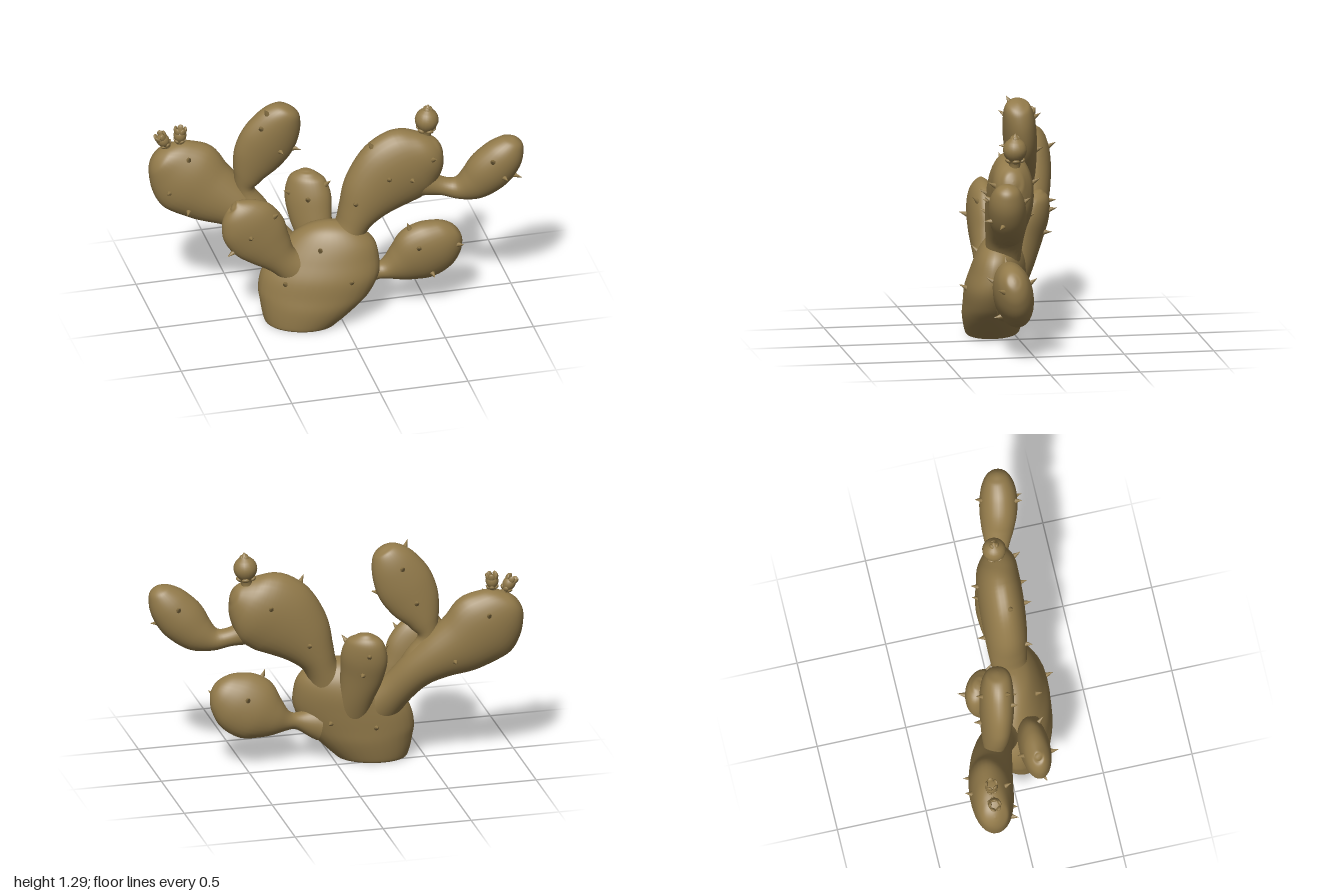
import * as THREE from 'three';

const skin = new THREE.MeshStandardMaterial({ color: 0x927a4a });
skin.name = 'ochre';

// Each pad is a row of cross-sections: x, y, z, half width, half thickness
const PADS = {
  trunk: {
    upright: true,
    normal: [-0.3, 0, 0.95],
    rings: [[-0.22, 0, 0.11, 0.194, 0.14], [-0.215, 0.02, 0.11, 0.21, 0.152], [-0.172, 0.12, 0.113, 0.274, 0.17],
      [-0.143, 0.2, 0.112, 0.312, 0.17], [-0.11, 0.3, 0.11, 0.324, 0.168], [-0.075, 0.4, 0.1, 0.29, 0.153],
      [-0.05, 0.48, 0.098, 0.242, 0.13], [-0.045, 0.55, 0.098, 0.16, 0.09], [-0.045, 0.595, 0.098, 0, 0]],
    front: [[-0.33, 0.29], [0.01, 0.3], [-0.14, 0.48]],
    back: [[-0.2, 0.22], [0.05, 0.25]],
  },
  leftFrontPad: {
    rings: [[-0.2, 0.3, 0.12, 0.12, 0.09], [-0.32, 0.4, 0.125, 0.09, 0.07], [-0.395, 0.485, 0.12, 0.13, 0.078],
      [-0.46, 0.57, 0.117, 0.168, 0.084], [-0.52, 0.655, 0.115, 0.166, 0.083], [-0.565, 0.72, 0.112, 0.125, 0.07],
      [-0.595, 0.765, 0.11, 0.06, 0.04], [-0.605, 0.775, 0.11, 0, 0]],
    front: [[-0.52, 0.62], [-0.61, 0.49], [-0.38, 0.7]],
    back: [[-0.55, 0.7]],
  },
  leftBackPad: {
    rings: [[-0.22, 0.3, 0.03, 0.13, 0.1], [-0.32, 0.43, -0.04, 0.1, 0.09], [-0.425, 0.56, -0.1, 0.108, 0.1],
      [-0.54, 0.65, -0.14, 0.14, 0.115], [-0.68, 0.735, -0.175, 0.188, 0.122], [-0.785, 0.82, -0.195, 0.218, 0.12],
      [-0.87, 0.89, -0.21, 0.178, 0.104], [-0.935, 0.94, -0.215, 0.105, 0.08], [-0.967, 0.965, -0.215, 0, 0]],
    front: [[-0.8, 0.95], [-0.9, 0.79], [-0.79, 0.65]],
    back: [[-0.78, 0.93], [-0.6, 0.66]],
  },
  tallPad: {
    rings: [[-0.35, 0.45, -0.05, 0.08, 0.08], [-0.425, 0.61, -0.095, 0.08, 0.08], [-0.482, 0.75, -0.11, 0.052, 0.06],
      [-0.462, 0.85, -0.1, 0.092, 0.075], [-0.415, 0.96, -0.085, 0.145, 0.086], [-0.36, 1.065, -0.07, 0.16, 0.092],
      [-0.305, 1.17, -0.055, 0.135, 0.088], [-0.262, 1.245, -0.04, 0.085, 0.07], [-0.245, 1.275, -0.037, 0, 0]],
    front: [[-0.41, 1.17], [-0.31, 1.03], [-0.23, 1.01], [-0.38, 1.25]],
    back: [[-0.33, 1.17], [-0.42, 0.97]],
  },
  backPad: {
    normal: [-0.5, 0, 0.86],
    rings: [[-0.08, 0.3, 0.02, 0.1, 0.07], [-0.1, 0.42, -0.03, 0.1, 0.072], [-0.12, 0.55, -0.07, 0.122, 0.078],
      [-0.127, 0.66, -0.1, 0.132, 0.082], [-0.13, 0.75, -0.12, 0.108, 0.07], [-0.13, 0.795, -0.125, 0.055, 0.04],
      [-0.13, 0.81, -0.125, 0, 0]],
    front: [[-0.14, 0.68], [-0.23, 0.69], [-0.04, 0.74]],
    back: [[-0.13, 0.7], [-0.1, 0.57]],
  },
  rightTopPad: {
    rings: [[0, 0.4, 0.1, 0.13, 0.1], [0.06, 0.53, 0.095, 0.092, 0.1], [0.11, 0.64, 0.096, 0.12, 0.11],
      [0.19, 0.76, 0.1, 0.184, 0.12], [0.3, 0.865, 0.105, 0.228, 0.124], [0.41, 0.925, 0.112, 0.22, 0.12],
      [0.49, 0.967, 0.128, 0.157, 0.102], [0.545, 0.995, 0.132, 0.085, 0.066], [0.57, 1.005, 0.132, 0, 0]],
    front: [[0.25, 0.9], [0.38, 0.85], [0.5, 0.97], [0.08, 0.73], [0.19, 1.06]],
    back: [[0.38, 0.95], [0.15, 0.72]],
  },
  rightOuterPad: {
    rings: [[0.46, 0.79, 0.13, 0.08, 0.07], [0.57, 0.757, 0.145, 0.052, 0.055], [0.66, 0.745, 0.165, 0.066, 0.065],
      [0.75, 0.785, 0.188, 0.108, 0.09], [0.83, 0.865, 0.21, 0.13, 0.104], [0.9, 0.95, 0.226, 0.115, 0.098],
      [0.95, 1.02, 0.233, 0.072, 0.07], [0.97, 1.055, 0.235, 0, 0]],
    front: [[0.82, 0.95], [0.88, 0.85], [0.96, 0.84]],
    back: [[0.87, 0.96]],
  },
  rightLowPad: {
    normal: [0, -0.15, 1],
    rings: [[0.08, 0.22, 0.1, 0.1, 0.08], [0.19, 0.24, 0.097, 0.052, 0.05], [0.27, 0.252, 0.097, 0.062, 0.062],
      [0.35, 0.282, 0.1, 0.122, 0.09], [0.44, 0.33, 0.11, 0.178, 0.108], [0.53, 0.38, 0.125, 0.175, 0.106],
      [0.605, 0.427, 0.138, 0.13, 0.085], [0.65, 0.455, 0.146, 0.07, 0.052], [0.666, 0.465, 0.148, 0, 0]],
    front: [[0.42, 0.42], [0.5, 0.24], [0.65, 0.4], [0.38, 0.52]],
    back: [[0.5, 0.42]],
  },
};

const UP = new THREE.Vector3(0, 1, 0);

// Loft of ellipses along a smooth path; squared radii give a rounded tip
function padGeometry({ rings, normal = [0, 0, 1], upright = false }) {
  const path = new THREE.CatmullRomCurve3(rings.map(r => new THREE.Vector3(r[0], r[1], r[2])), false, 'catmullrom');
  const size = new THREE.CatmullRomCurve3(rings.map(r => new THREE.Vector3(r[3] ** 2, r[4] ** 2, 0)), false, 'catmullrom');
  const rows = (rings.length - 1) * 6, cols = 32;
  const pos = [], index = [];
  const facing = new THREE.Vector3(...normal);
  for (let i = 0; i <= rows; i++) {
    // Rows crowd towards the tip
    const u = 1 - (1 - i / rows) ** 1.4;
    const c = path.getPoint(u), s = size.getPoint(u);
    const t = upright ? UP : path.getTangent(u);
    const side = t.clone().cross(facing).normalize();
    const out = side.clone().cross(t).normalize();
    const w = Math.sqrt(Math.max(s.x, 1e-8)), d = Math.sqrt(Math.max(s.y, 1e-8));
    for (let j = 0; j < cols; j++) {
      const a = (j / cols) * Math.PI * 2;
      const p = c.clone().addScaledVector(side, w * Math.cos(a)).addScaledVector(out, d * Math.sin(a));
      pos.push(p.x, p.y, p.z);
      if (i < rows) {
        const k = i * cols, n = (j + 1) % cols;
        index.push(k + j, k + cols + j, k + n, k + n, k + cols + j, k + cols + n);
      }
    }
  }
  const geo = new THREE.BufferGeometry();
  geo.setAttribute('position', new THREE.Float32BufferAttribute(pos, 3));
  geo.setIndex(index);
  geo.computeVertexNormals();
  return geo;
}

const spineGeo = new THREE.ConeGeometry(0.018, 0.058, 8).translate(0, 0.016, 0);

// Spine seated on the pad surface nearest to (x, y), on the front or back
function spine(geo, x, y, face) {
  const P = geo.attributes.position, N = geo.attributes.normal;
  let best = 0, bestD = Infinity;
  for (let i = 0; i < P.count; i++) {
    const d = (P.getX(i) - x) ** 2 + (P.getY(i) - y) ** 2;
    if (N.getZ(i) * face > 0 && d < bestD) { bestD = d; best = i; }
  }
  const dir = new THREE.Vector3().fromBufferAttribute(N, best);
  dir.y += 0.35;
  const m = new THREE.Mesh(spineGeo, skin);
  m.name = 'spine';
  m.position.fromBufferAttribute(P, best);
  m.quaternion.setFromUnitVectors(UP, dir.normalize());
  return m;
}

// Bud: lathed body with rings of petals or sepals
function bud(name, profile, petals, position, tilt) {
  const g = new THREE.Group();
  g.name = name;
  const curve = new THREE.SplineCurve(profile.map(p => new THREE.Vector2(...p)));
  const pts = curve.getPoints(20).map(p => new THREE.Vector2(Math.max(p.x, 0), p.y));
  g.add(new THREE.Mesh(new THREE.LatheGeometry(pts, 20), skin));
  for (const { n, r, y, len, wide, lean } of petals) {
    for (let i = 0; i < n; i++) {
      const pivot = new THREE.Group();
      pivot.name = 'petal';
      pivot.rotation.y = (i / n) * Math.PI * 2;
      const m = new THREE.Mesh(new THREE.SphereGeometry(1, 10, 8), skin);
      m.scale.set(wide * 0.5, len / 2, wide);
      m.position.set(r, y, 0);
      m.rotation.z = -lean;
      pivot.add(m);
      g.add(pivot);
    }
  }
  g.position.set(...position);
  g.rotation.z = tilt;
  return g;
}

export function createModel() {
  const model = new THREE.Group();
  model.name = 'cactus';
  for (const [name, pad] of Object.entries(PADS)) {
    const g = new THREE.Group();
    g.name = name;
    const geo = padGeometry(pad);
    g.add(new THREE.Mesh(geo, skin));
    pad.front.forEach(([x, y]) => g.add(spine(geo, x, y, 1)));
    pad.back.forEach(([x, y]) => g.add(spine(geo, x, y, -1)));
    model.add(g);
  }

  // Flat underside of the trunk, turned like its lowest ring
  const { rings: [[x, y, z, w, d]], normal } = PADS.trunk;
  const base = new THREE.Mesh(new THREE.CircleGeometry(1, 32).rotateX(Math.PI / 2), skin);
  base.name = 'trunkBase';
  base.scale.set(w, 1, d);
  base.rotation.y = Math.atan2(normal[0], normal[2]);
  base.position.set(x, y, z);
  model.add(base);

  // Round fruit on the right top pad
  model.add(bud('fruit',
    [[0.03, -0.02], [0.035, 0.01], [0.058, 0.045], [0.066, 0.08], [0.054, 0.115], [0.03, 0.138], [0.016, 0.152], [0, 0.172]],
    [{ n: 5, r: 0.042, y: 0.018, len: 0.034, wide: 0.022, lean: 0.9 },
      { n: 3, r: 0.02, y: 0.135, len: 0.045, wide: 0.018, lean: -0.2 }],
    [0.488, 1.09, 0.11], -0.08));

  // Two small flowers on the left back pad
  const cup = [[0.016, -0.03], [0.02, 0], [0.034, 0.03], [0.034, 0.055], [0.024, 0.068], [0, 0.07]];
  const crown = [{ n: 5, r: 0.027, y: 0.068, len: 0.046, wide: 0.018, lean: 0.15 },
    { n: 5, r: 0.026, y: 0.008, len: 0.03, wide: 0.015, lean: 0.6 }];
  model.add(bud('leftFlower', cup, crown, [-0.9, 1.025, -0.21], 0.55));
  model.add(bud('rightFlower', cup, crown, [-0.828, 1.04, -0.205], -0.05));
  return model;
}
